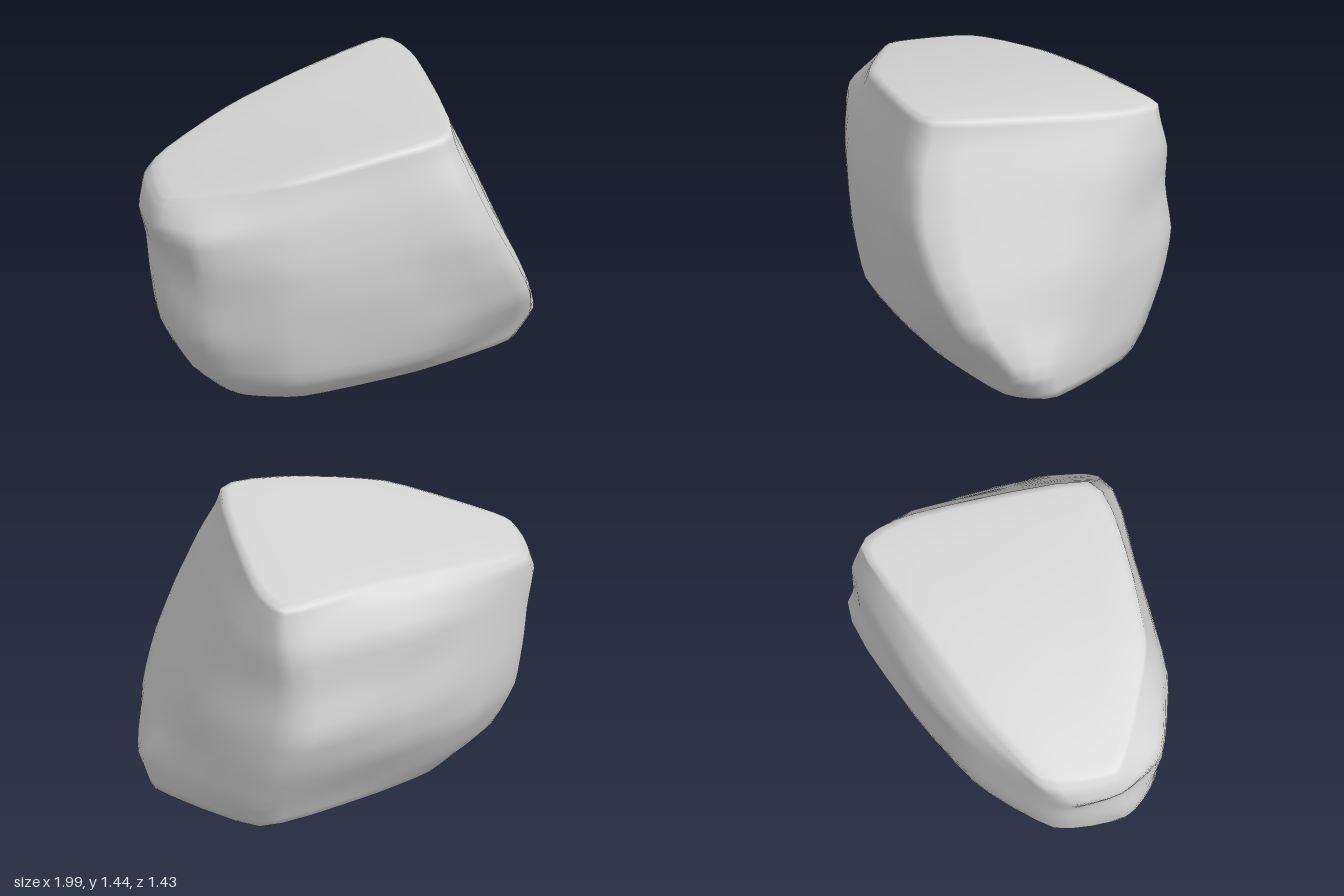
import * as THREE from 'three';

// Horizontal cross-sections, bottom to top. Each starts at the front-right
// ridge and runs over the front, the left tip, the back and the right side.
const LEVELS = [0.06, 0.2, 0.42, 0.65, 0.9, 1.14, 1.31];
const RINGS = [
  [[0.81, 0.37], [0.25, 0.42], [-0.35, 0.36], [-0.6, 0.2], [-0.66, 0.03], [-0.57, -0.18], [-0.3, -0.34], [0.12, -0.42], [0.7, -0.43], [0.97, 0.16]],
  [[0.91, 0.4], [0.25, 0.54], [-0.42, 0.44], [-0.73, 0.23], [-0.8, 0.04], [-0.7, -0.26], [-0.35, -0.44], [0.12, -0.5], [0.73, -0.49], [0.985, 0.17]],
  [[0.82, 0.56], [0.28, 0.61], [-0.47, 0.47], [-0.81, 0.26], [-0.92, 0.04], [-0.81, -0.3], [-0.4, -0.54], [0.1, -0.63], [0.69, -0.61], [0.93, 0.02]],
  [[0.7, 0.65], [0.15, 0.63], [-0.5, 0.49], [-0.84, 0.26], [-0.96, 0.03], [-0.84, -0.32], [-0.4, -0.58], [0.1, -0.69], [0.65, -0.69], [0.89, -0.08]],
  [[0.57, 0.68], [0.1, 0.63], [-0.5, 0.5], [-0.87, 0.27], [-0.94, 0], [-0.86, -0.33], [-0.4, -0.58], [0.05, -0.67], [0.62, -0.67], [0.83, -0.19]],
  [[0.47, 0.63], [0.05, 0.59], [-0.49, 0.47], [-0.89, 0.25], [-0.995, -0.02], [-0.9, -0.32], [-0.37, -0.59], [0.05, -0.68], [0.65, -0.66], [0.77, -0.26]],
  [[0.42, 0.555], [0.02, 0.55], [-0.47, 0.42], [-0.83, 0.17], [-0.97, -0.03], [-0.85, -0.36], [-0.33, -0.56], [0.12, -0.62], [0.66, -0.62], [0.71, -0.3]],
];
const RIM = [[0.4, 0.53], [0, 0.53], [-0.45, 0.4], [-0.79, 0.13], [-0.93, -0.03], [-0.78, -0.37], [-0.3, -0.5], [0.15, -0.56], [0.65, -0.61], [0.67, -0.3]];

const AROUND = 40;
const STEPS = 3;

// Height of the sloping top
const topHeight = (x, z) => 1.365 + 0.12 * x - 0.085 * x * x + 0.075 * z;

// Upper sections lean with the top, lower ones stay level
const sectionHeight = (level, x, z) => {
  const t = level / 1.42;
  return level * (1 + (topHeight(x, z) / 1.42 - 1) * t * t);
};

const closedLoop = (points) =>
  new THREE.CatmullRomCurve3(points, true, 'catmullrom', 0.3);

function createStoneGeometry() {
  const sections = RINGS.map((ring, i) =>
    ring.map(([x, z]) => new THREE.Vector3(x, sectionHeight(LEVELS[i], x, z), z)));
  sections.push(RIM.map(([x, z]) => new THREE.Vector3(x, topHeight(x, z) - 0.012, z)));

  // Smooth each section, then run a curve up through every column
  const loops = sections.map((points) => {
    const curve = closedLoop(points);
    return Array.from({ length: AROUND }, (_, k) => curve.getPoint(k / AROUND));
  });
  const rows = (loops.length - 1) * STEPS;
  const columns = Array.from({ length: AROUND }, (_, k) =>
    new THREE.CatmullRomCurve3(loops.map((l) => l[k]), false, 'catmullrom', 0.3));

  const rings = [];
  for (let j = 0; j <= rows; j++) {
    rings.push(columns.map((c) => {
      const p = c.getPoint(j / rows);
      // Shallow weathered lumps, fading out at the rim and the base
      const fade = Math.sin(Math.PI * j / rows);
      const lump = Math.sin(7 * p.x + 4 * p.y) * Math.sin(8 * p.y - 6 * p.z + 2 * p.x);
      const s = 1 + 0.006 * fade * lump;
      return new THREE.Vector3(p.x * s, p.y, p.z * s);
    }));
  }

  // Top and underside close inwards ring by ring
  const rim = rings[rows];
  for (const s of [0.94, 0.65, 0.3]) {
    rings.push(rim.map((p) => {
      const x = p.x * s, z = p.z * s;
      return new THREE.Vector3(x, topHeight(x, z), z);
    }));
  }
  const base = rings[0];
  for (const [s, y] of [[0.88, 0.04], [0.5, 0.015]]) {
    rings.unshift(base.map((p) =>
      new THREE.Vector3(0.1 + (p.x - 0.1) * s, y, p.z * s)));
  }

  const positions = rings.flat().flatMap((p) => [p.x, p.y, p.z]);
  const indices = [];
  for (let j = 0; j < rings.length - 1; j++) {
    for (let k = 0; k < AROUND; k++) {
      const a = j * AROUND + k, b = j * AROUND + (k + 1) % AROUND;
      const c = a + AROUND, d = b + AROUND;
      indices.push(a, c, b, b, c, d);
    }
  }
  const bottom = positions.length / 3, top = bottom + 1;
  positions.push(0.1, 0, 0, 0, topHeight(0, 0), 0);
  const last = (rings.length - 1) * AROUND;
  for (let k = 0; k < AROUND; k++) {
    const n = (k + 1) % AROUND;
    indices.push(bottom, k, n, top, last + n, last + k);
  }

  const geometry = new THREE.BufferGeometry();
  geometry.setAttribute('position', new THREE.Float32BufferAttribute(positions, 3));
  geometry.setIndex(indices);
  geometry.computeVertexNormals();
  return geometry;
}

export function createModel() {
  const stoneGrey = new THREE.MeshStandardMaterial({ color: 0xd6d6d6 });
  stoneGrey.name = 'stoneGrey';

  const rock = new THREE.Mesh(createStoneGeometry(), stoneGrey);
  rock.name = 'rock';

  const model = new THREE.Group();
  model.name = 'boulder';
  model.add(rock);
  return model;
}
